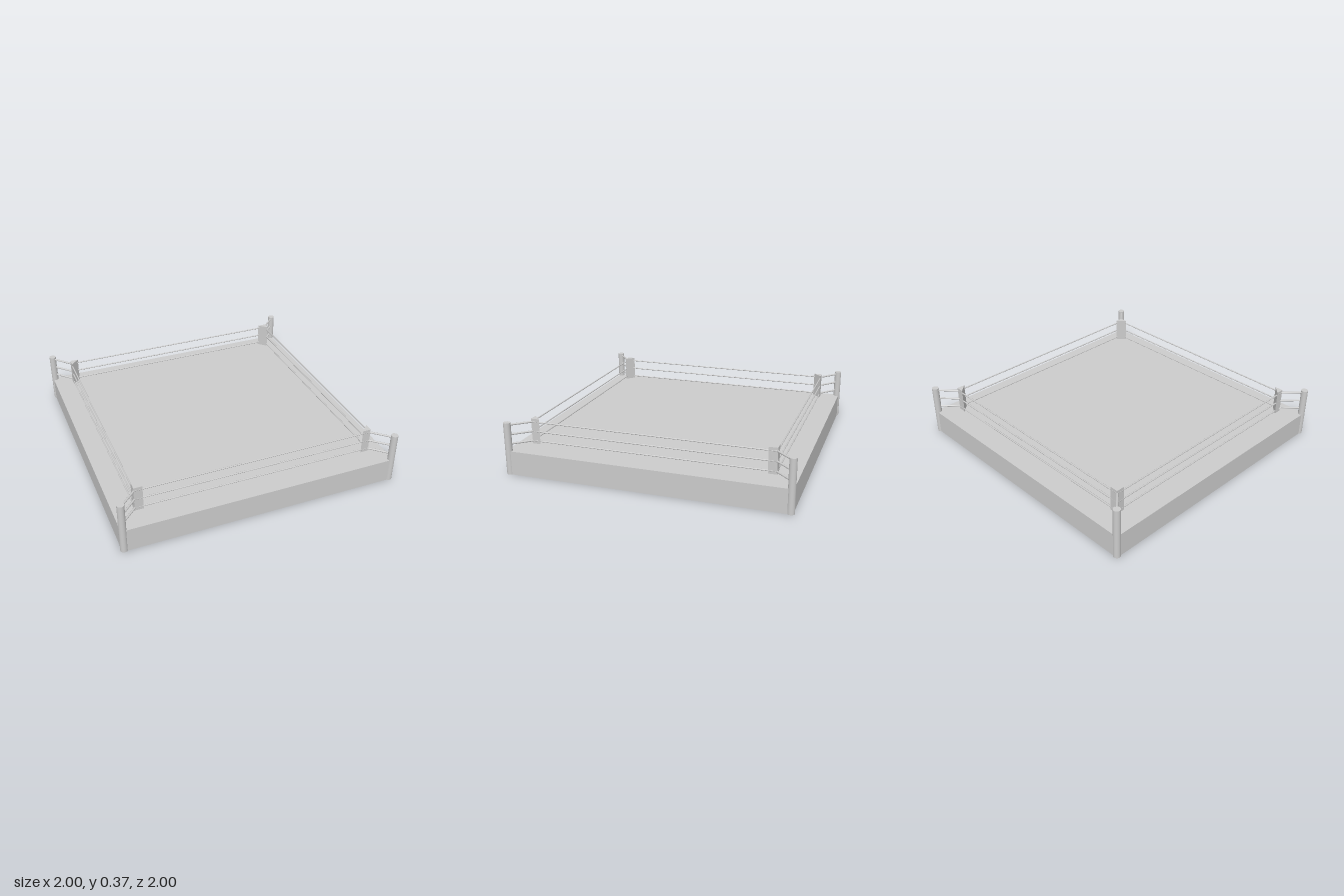
import * as THREE from 'three';

const material = new THREE.MeshStandardMaterial({ color: 0xcccccc });
const POST = 0.975, ROPE = 0.853, DECK = 0.17;
const ROPE_HEIGHTS = [0.213, 0.281, 0.35];

function add(parent, name, geometry, x = 0, y = 0, z = 0) {
  const mesh = new THREE.Mesh(geometry, material);
  mesh.name = name;
  mesh.position.set(x, y, z);
  parent.add(mesh);
  return mesh;
}

// Straight round bar between two points
function bar(parent, name, from, to, radius) {
  const dir = to.clone().sub(from);
  const mesh = add(parent, name, new THREE.CylinderGeometry(radius, radius, dir.length(), 10));
  mesh.position.copy(from).add(to).multiplyScalar(0.5);
  mesh.quaternion.setFromUnitVectors(new THREE.Vector3(0, 1, 0), dir.normalize());
}

// Triangular pad: two sides behind the ropes, one broad face to the ring centre
function padGeometry() {
  const shape = new THREE.Shape();
  shape.moveTo(0.004, 0.004);
  shape.lineTo(-0.056, 0.004);
  shape.lineTo(0.004, -0.056);
  shape.closePath();
  const geometry = new THREE.ExtrudeGeometry(shape, { depth: 0.18, bevelEnabled: false });
  return geometry.rotateX(-Math.PI / 2);
}

export function createModel() {
  const ring = new THREE.Group();
  ring.name = 'boxingRing';

  // Raised platform
  add(ring, 'platform', new THREE.BoxGeometry(1.98, DECK, 1.98), 0, DECK / 2, 0);

  // Each quarter turn holds one corner and the side that follows it
  for (let i = 0; i < 4; i++) {
    const quarter = new THREE.Group();
    quarter.name = 'ringQuarter';
    quarter.rotation.y = i * Math.PI / 2;
    ring.add(quarter);

    add(quarter, 'cornerPost', new THREE.CylinderGeometry(0.025, 0.025, 0.372, 20), POST, 0.186, POST);
    // The pad profile points to +x and, once laid flat, to -z
    const pad = add(quarter, 'cornerPad', padGeometry(), ROPE, 0.193, ROPE);
    pad.rotation.y = -Math.PI / 2;

    for (const y of ROPE_HEIGHTS) {
      bar(quarter, 'rope', new THREE.Vector3(-ROPE, y, ROPE), new THREE.Vector3(ROPE, y, ROPE), 0.005);
      bar(quarter, 'ropeTie', new THREE.Vector3(ROPE, y, ROPE), new THREE.Vector3(POST, y + 0.004, POST), 0.007);
    }
  }
  return ring;
}
